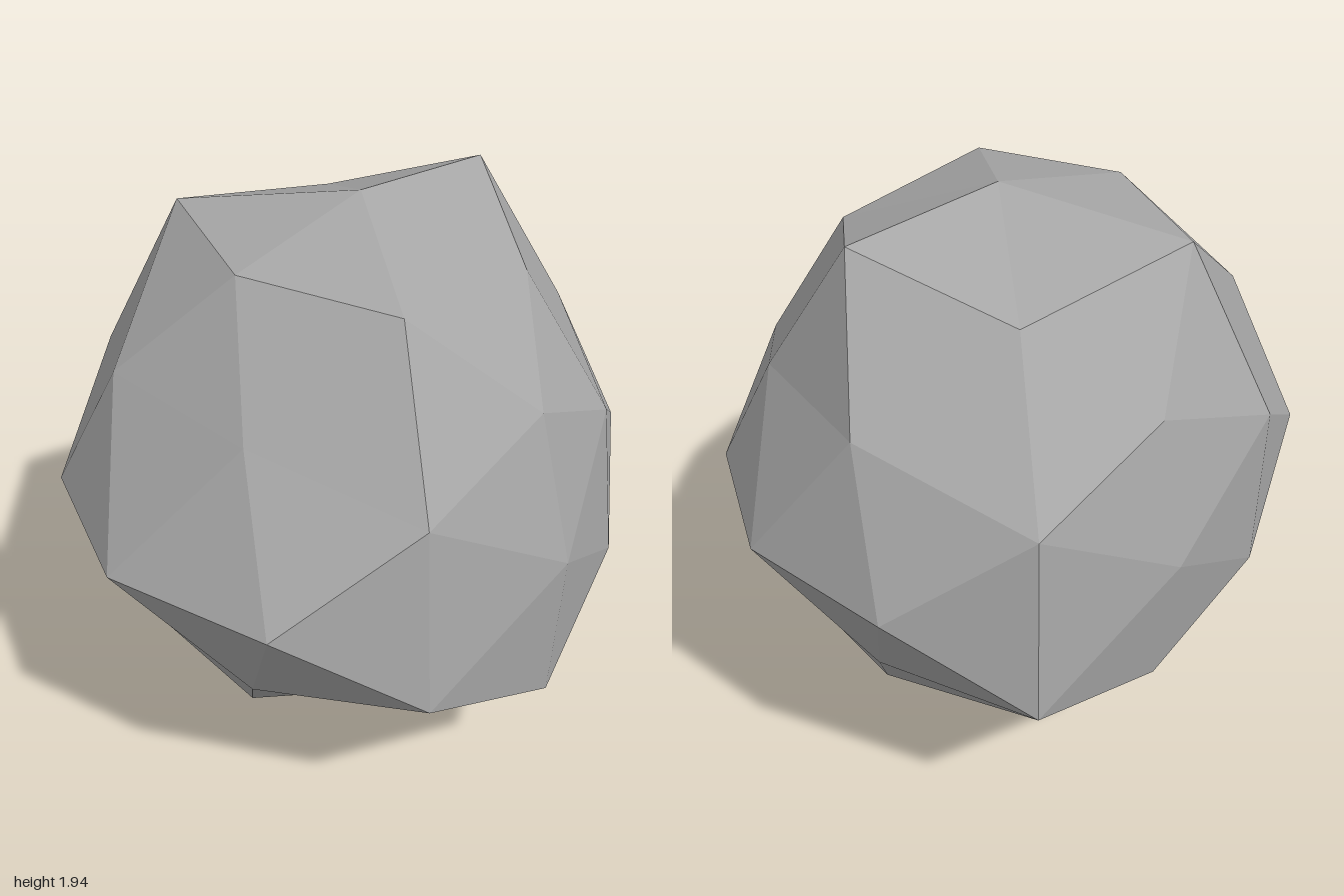
import * as THREE from 'three';

// Each family of directions on the subdivided icosahedron, with one radius per
// mirrored copy (signs run + then -, x slowest and z fastest).
const FAMILIES = [
  [[1, 0, 0], [0.95, 1.045]],
  [[0, 1, 0], [0.92, 1.02]],
  [[0, 0, 1], [0.905, 0.865]],
  [[0.526, 0.851, 0], [1.034, 0.955, 0.95, 1.0]],
  [[0, 0.526, 0.851], [0.895, 0.883, 1.027, 0.93]],
  [[0.851, 0, 0.526], [0.905, 0.99, 1.05, 1.005]],
  [[0.309, 0.809, 0.5], [0.886, 0.89, 0.977, 0.94, 0.967, 1.02, 0.846, 0.91]],
  [[0.809, 0.5, 0.309], [0.845, 0.92, 0.865, 0.855, 0.89, 0.937, 0.92, 0.92]],
  [[0.5, 0.309, 0.809], [0.85, 0.99, 0.918, 1.04, 0.95, 0.928, 1.036, 0.924]],
];

const signs = (v) => (v === 0 ? [0] : [v, -v]);

// Expand the families into the list of bumps: direction plus radius
function makeBumps() {
  const bumps = [];
  for (const [[a, b, c], radii] of FAMILIES) {
    let i = 0;
    for (const x of signs(a)) for (const y of signs(b)) for (const z of signs(c)) {
      bumps.push({ dir: new THREE.Vector3(x, y, z), radius: radii[i++] });
    }
  }
  return bumps;
}

export function createModel() {
  const group = new THREE.Group();
  group.name = 'boulder';

  const stone = new THREE.MeshStandardMaterial({ color: 0xa6a6a6 });
  stone.name = 'stone grey';
  stone.flatShading = true;

  // Push every vertex of the faceted ball in or out along its own direction
  const geometry = new THREE.IcosahedronGeometry(1, 1);
  const pos = geometry.attributes.position;
  const bumps = makeBumps();
  const v = new THREE.Vector3();
  for (let i = 0; i < pos.count; i++) {
    v.fromBufferAttribute(pos, i).normalize();
    let best = bumps[0];
    for (const bump of bumps) if (bump.dir.dot(v) > best.dir.dot(v)) best = bump;
    v.multiplyScalar(best.radius);
    pos.setXYZ(i, v.x, v.y, v.z);
  }
  geometry.computeVertexNormals();

  const rock = new THREE.Mesh(geometry, stone);
  rock.name = 'rock';
  rock.position.set(0.046, 1.02, -0.014);
  group.add(rock);
  return group;
}
